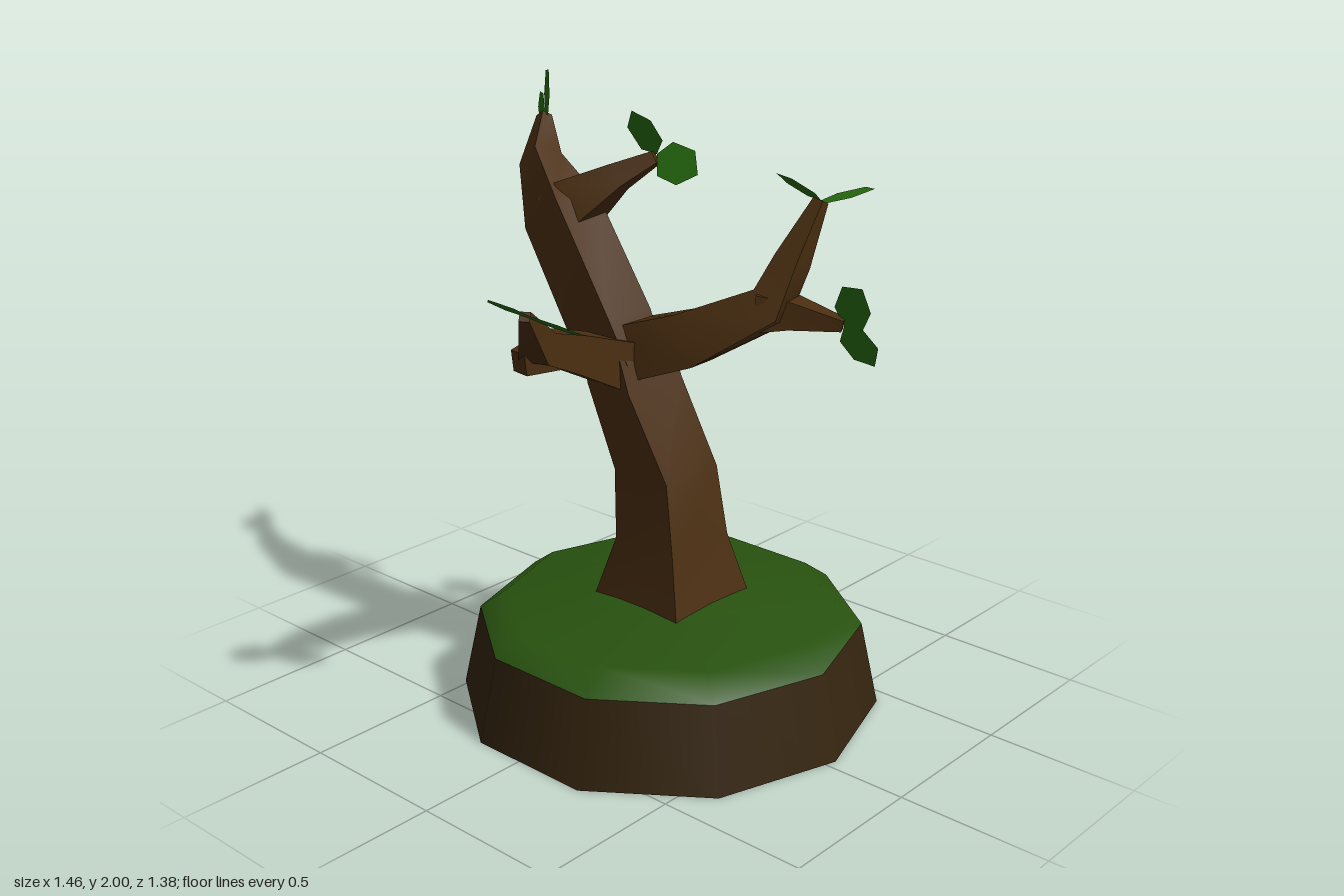
import * as THREE from 'three';
import { toCreasedNormals } from 'three/addons/utils/BufferGeometryUtils.js';

const V = (p) => new THREE.Vector3(...p);

function material(name, color, side = THREE.DoubleSide) {
  const m = new THREE.MeshStandardMaterial({ color, side });
  m.name = name;
  return m;
}

// Skin a list of four-cornered rings, closing the far end
function skin(rings) {
  const index = [];
  for (let i = 0; i < rings.length - 1; i++) {
    for (let j = 0; j < 4; j++) {
      const a = i * 4 + j, b = i * 4 + (j + 1) % 4;
      index.push(a, b, b + 4, a, b + 4, a + 4);
    }
  }
  const e = (rings.length - 1) * 4;
  index.push(e, e + 1, e + 2, e, e + 2, e + 3);
  const g = new THREE.BufferGeometry();
  g.setAttribute('position', new THREE.Float32BufferAttribute(rings.flat(2), 3));
  g.setIndex(index);
  return toCreasedNormals(g, 0.75);
}

// Square-section limb along [x, y, z, half width] stations
function limb(stations, ref) {
  const pts = stations.map(V);
  const rings = stations.map((s, i) => {
    const t = pts[Math.min(i + 1, pts.length - 1)].clone().sub(pts[Math.max(i - 1, 0)]).normalize();
    const v = V(ref).addScaledVector(t, -t.dot(V(ref))).normalize();
    const u = v.clone().cross(t);
    return [[1, 1], [-1, 1], [-1, -1], [1, -1]].map(([a, b]) =>
      pts[i].clone().addScaledVector(u, a * s[3]).addScaledVector(v, b * s[3]).toArray());
  });
  return skin(rings);
}

// Flat six-cornered leaf from stem to tip, facing along normal
function leaf(stem, tip, normal) {
  const axis = V(tip).sub(V(stem));
  const across = V(normal).cross(axis).normalize();
  const outline = [[0, 0], [0.22, -0.06], [0.68, -0.058], [1, 0], [0.72, 0.062], [0.2, 0.056]];
  const pos = outline.flatMap(([t, w]) =>
    V(stem).addScaledVector(axis, t).addScaledVector(across, w).toArray());
  const g = new THREE.BufferGeometry();
  g.setAttribute('position', new THREE.Float32BufferAttribute(pos, 3));
  g.setIndex([0, 2, 1, 0, 3, 2, 0, 4, 3, 0, 5, 4]);
  g.computeVertexNormals();
  return g;
}

export function createModel() {
  const model = new THREE.Group();
  model.name = 'treeOnMound';
  const soil = material('soil', 0x35250f);
  const grass = material('grass', 0x28520f);
  const bark = material('bark', 0x4a2e10);
  const foliage = material('foliage', 0x286e10);

  const add = (name, geometry, mat) => {
    const mesh = new THREE.Mesh(geometry, mat);
    mesh.name = name;
    model.add(mesh);
    return mesh;
  };

  // Ten-sided mound, open underneath
  const turn = (profile) =>
    new THREE.LatheGeometry(profile.map((p) => new THREE.Vector2(...p)), 10, Math.PI / 2);
  add('soilRim', turn([[0.69, 0], [0.63, 0.28]]), soil).position.set(0.04, 0, -0.035);
  add('grassTop', turn([[0.63, 0.28], [0.54, 0.345], [0, 0.4]]), grass).position.set(0.04, 0, -0.035);

  // Trunk: [y, x0, x1, z0, z1]
  const trunk = [
    [0.28, -0.15, 0.25, -0.23, 0.16],
    [0.57, -0.066, 0.175, -0.165, 0.104],
    [0.8, -0.08, 0.14, -0.15, 0.093],
    [1.08, -0.16, 0.015, -0.12, 0.13],
    [1.21, -0.185, -0.03, -0.11, 0.13],
  ];
  add('trunk', skin(trunk.map(([y, x0, x1, z0, z1]) =>
    [[x1, y, z1], [x1, y, z0], [x0, y, z0], [x0, y, z1]])), bark);

  // Limbs and their forks
  const Z = [0, 0, 1], Y = [0, 1, 0];
  const limbs = [
    ['rightLimb', Z, [[-0.09, 1.13, 0.02, 0.085], [-0.15, 1.25, 0.03, 0.095],
      [-0.36, 1.58, 0.03, 0.09], [-0.525, 1.72, -0.04, 0.05], [-0.6, 1.84, -0.135, 0.018]]],
    ['rightLimbTwig', Z, [[-0.36, 1.56, 0.02, 0.08], [-0.32, 1.61, 0, 0.075],
      [-0.21, 1.7, -0.07, 0.04], [-0.11, 1.765, -0.135, 0.02]]],
    ['leftLimb', Z, [[-0.1, 1.17, 0, 0.09], [0.12, 1.245, -0.05, 0.085],
      [0.33, 1.36, -0.17, 0.06], [0.37, 1.5, -0.22, 0.042], [0.41, 1.68, -0.3, 0.018]]],
    ['leftLimbTwig', Z, [[0.29, 1.35, -0.15, 0.06], [0.38, 1.345, -0.21, 0.045],
      [0.52, 1.315, -0.285, 0.018]]],
    ['frontLimb', Y, [[-0.09, 1.14, 0.05, 0.08], [-0.1, 1.23, 0.27, 0.06],
      [-0.085, 1.28, 0.42, 0.05], [0, 1.42, 0.55, 0.016]]],
    ['frontLimbStub', Y, [[-0.1, 1.25, 0.34, 0.05], [-0.118, 1.235, 0.465, 0.034]]],
  ];
  for (const [name, ref, stations] of limbs) add(name, limb(stations, ref), bark);

  // Leaf pairs at the limb ends: stem, then tip and facing of each leaf
  const leaves = [
    [[-0.6, 1.845, -0.14], [[-0.73, 1.84, -0.235], [-0.62, 0, 0.78]], [[-0.53, 2, -0.09], [-0.62, 0, 0.78]]],
    [[-0.11, 1.775, -0.14], [[-0.17, 1.91, -0.09], [0, -0.4, 0.9]], [[0.05, 1.73, -0.15], [0.1, 0.4, 0.9]]],
    [[0.41, 1.68, -0.3], [[0.3, 1.76, -0.22], [0.2, 0.85, -0.6]], [[0.57, 1.73, -0.35], [-0.25, 0.95, 0.15]]],
    [[0.52, 1.31, -0.29], [[0.61, 1.45, -0.25], [-0.05, -0.25, 0.97]], [[0.61, 1.19, -0.33], [-0.05, -0.25, 0.97]]],
    [[0.01, 1.42, 0.55], [[0, 1.5, 0.69], [0, 0.87, -0.5]], [[0.185, 1.39, 0.5], [0, 0.87, -0.5]]],
  ];
  leaves.forEach(([stem, ...pair], i) => pair.forEach(([tip, normal], j) =>
    add(`leaf${i + 1}${'ab'[j]}`, leaf(stem, tip, normal), foliage)));

  return model;
}
